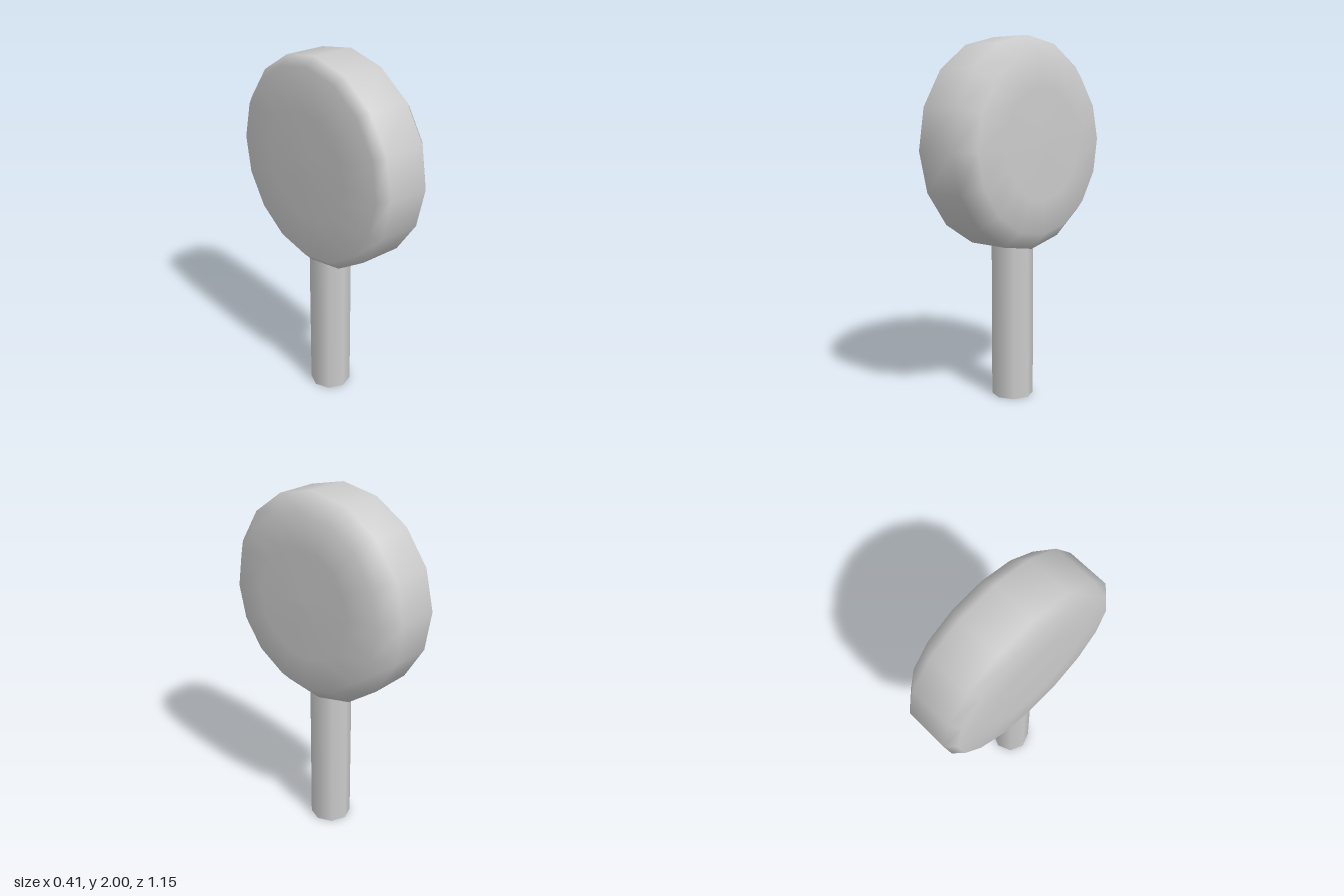
import * as THREE from 'three';

const material = new THREE.MeshStandardMaterial({ color: 0xcccccc });

function addPart(group, name, geometry, x, y) {
  const mesh = new THREE.Mesh(geometry, material);
  mesh.name = name;
  mesh.position.set(x, y, 0);
  group.add(mesh);
  return mesh;
}

export function createModel() {
  const group = new THREE.Group();
  group.name = 'paddle';

  // Round head: bevelled, slightly domed disc turned around the x axis
  const profile = [
    [0, -0.203], [0.3, -0.2], [0.527, -0.19], [0.576, -0.14],
    [0.576, 0.1], [0.486, 0.19], [0.3, 0.198], [0, 0.202],
  ].map(([r, x]) => new THREE.Vector2(r, x));
  const headGeometry = new THREE.LatheGeometry(profile, 16, THREE.MathUtils.degToRad(2));
  headGeometry.rotateZ(-Math.PI / 2);
  addPart(group, 'head', headGeometry, 0, 1.424);

  // Straight eight-sided handle, its top sunk into the head
  const handleHeight = 0.95;
  const handleGeometry = new THREE.CylinderGeometry(0.116, 0.116, handleHeight, 8);
  addPart(group, 'handle', handleGeometry, -0.025, handleHeight / 2);

  return group;
}
